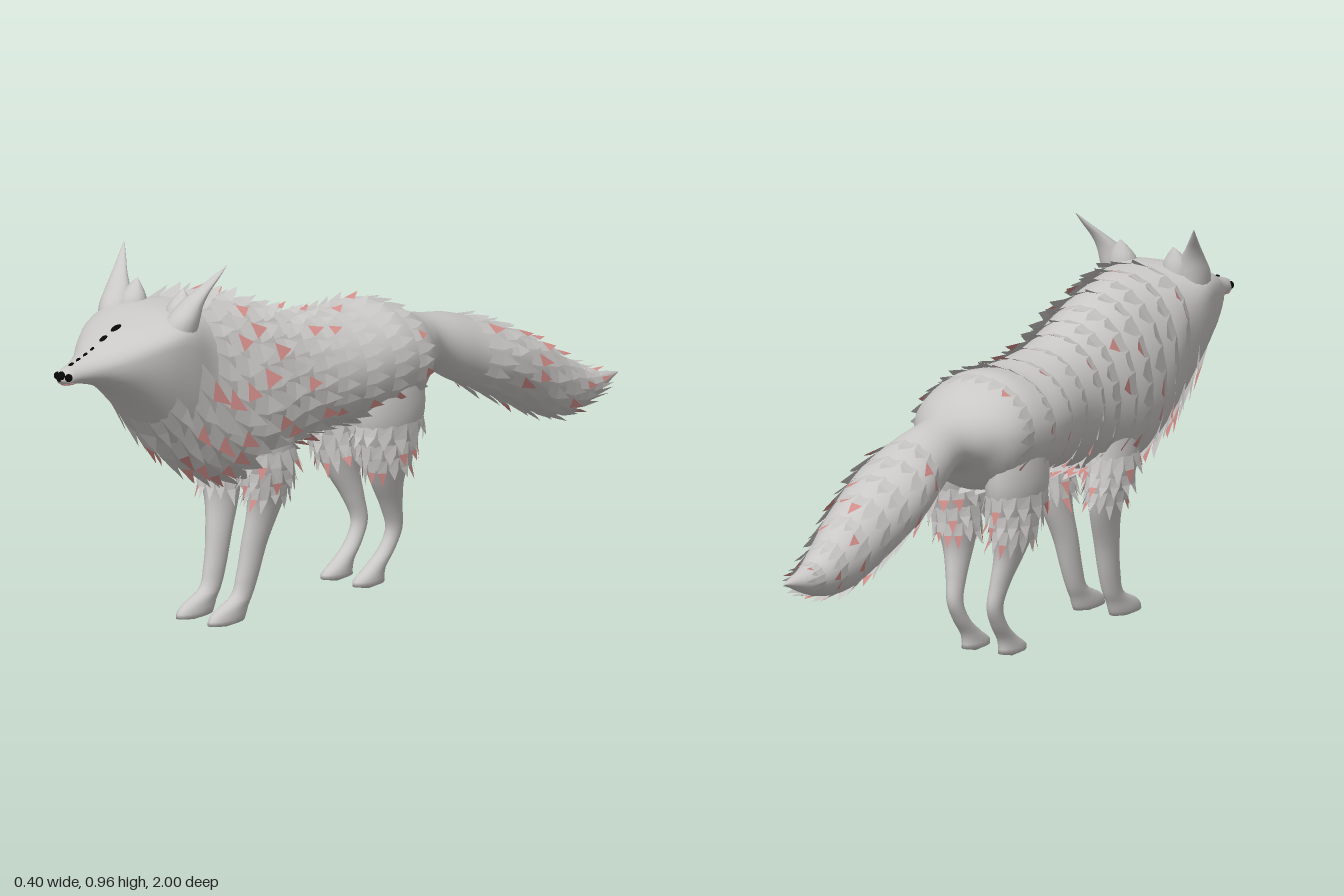
import * as THREE from 'three';

const mat = (name, color, side = THREE.FrontSide) => {
  const m = new THREE.MeshStandardMaterial({ color, side });
  m.name = name;
  return m;
};

// Small seeded generator for the uneven fur
let seed = 7;
const rand = () => (seed = (seed * 16807) % 2147483647) / 2147483647;

// Smooth interpolation through section rows sorted by descending first value
function sample(rows, u) {
  let i = 0;
  while (i < rows.length - 2 && rows[i + 1][0] > u) i++;
  const p = rows[Math.max(i - 1, 0)], a = rows[i], b = rows[i + 1];
  const q = rows[Math.min(i + 2, rows.length - 1)];
  const t = THREE.MathUtils.clamp((u - a[0]) / (b[0] - a[0]), 0, 1);
  const h = b[0] - a[0];
  return a.map((v, k) => {
    if (k === 0) return u;
    const m0 = ((b[k] - p[k]) / (b[0] - p[0])) * h;
    const m1 = ((q[k] - v) / (q[0] - a[0])) * h;
    const t2 = t * t, t3 = t2 * t;
    return (2 * t3 - 3 * t2 + 1) * v + (t3 - 2 * t2 + t) * m0
      + (3 * t2 - 2 * t3) * b[k] + (t3 - t2) * m1;
  });
}

// Nose to tail: z, top, bottom, half width, height of widest point
const bodyRows = [
  [0.995, 0.722, 0.714, 0.008, 0.718], [0.985, 0.738, 0.703, 0.022, 0.72],
  [0.94, 0.752, 0.7, 0.033, 0.725], [0.88, 0.772, 0.685, 0.062, 0.735],
  [0.82, 0.8, 0.655, 0.105, 0.75], [0.75, 0.825, 0.6, 0.143, 0.77],
  [0.68, 0.845, 0.53, 0.158, 0.77], [0.6, 0.85, 0.45, 0.155, 0.7],
  [0.5, 0.842, 0.39, 0.165, 0.61], [0.4, 0.815, 0.37, 0.165, 0.58],
  [0.2, 0.738, 0.42, 0.14, 0.58], [0, 0.712, 0.43, 0.165, 0.58],
  [-0.1, 0.718, 0.43, 0.165, 0.58], [-0.18, 0.69, 0.44, 0.15, 0.58],
  [-0.24, 0.66, 0.495, 0.11, 0.58], [-0.3, 0.643, 0.51, 0.077, 0.575],
  [-0.4, 0.625, 0.455, 0.088, 0.54], [-0.52, 0.583, 0.4, 0.109, 0.49],
  [-0.7, 0.5, 0.315, 0.087, 0.41], [-0.78, 0.45, 0.295, 0.068, 0.375],
  [-0.88, 0.39, 0.31, 0.042, 0.35], [-1, 0.361, 0.359, 0.003, 0.36],
];
const bodySurface = (u, a) => {
  const [z, top, bottom, w, yc] = sample(bodyRows, u);
  // Sections grow boxier around the brow
  const e = 1 - 0.25 * Math.max(0, 1 - ((z - 0.69) / 0.18) ** 2);
  const c = Math.cos(a), s = Math.sin(a);
  const pow = (v) => Math.sign(v) * Math.abs(v) ** e;
  return new THREE.Vector3(w * pow(c), yc + (s > 0 ? (top - yc) * pow(s) : (yc - bottom) * s), z);
};

// Limbs and ears: y, x, z, x radius, z radius
const frontLegRows = [
  [0.52, 0.085, 0.36, 0.05, 0.09], [0.4, 0.088, 0.34, 0.052, 0.078],
  [0.3, 0.073, 0.335, 0.034, 0.055], [0.2, 0.06, 0.36, 0.028, 0.038],
  [0.12, 0.055, 0.38, 0.024, 0.033], [0.07, 0.053, 0.4, 0.022, 0.034],
  [0.045, 0.053, 0.435, 0.024, 0.055], [0.025, 0.053, 0.45, 0.026, 0.062],
  [0.01, 0.053, 0.455, 0.022, 0.054], [0.003, 0.053, 0.455, 0.001, 0.001],
];
const hindLegRows = [
  [0.58, 0.085, -0.09, 0.06, 0.1], [0.45, 0.09, -0.09, 0.064, 0.108],
  [0.35, 0.083, -0.09, 0.05, 0.08], [0.27, 0.074, -0.1, 0.033, 0.05],
  [0.2, 0.064, -0.125, 0.023, 0.032], [0.14, 0.058, -0.14, 0.019, 0.024],
  [0.09, 0.055, -0.115, 0.02, 0.024], [0.05, 0.053, -0.075, 0.022, 0.035],
  [0.028, 0.053, -0.055, 0.025, 0.05], [0.01, 0.053, -0.055, 0.022, 0.045],
  [0.003, 0.053, -0.055, 0.001, 0.001],
];
const earRows = [
  [0.96, 0.172, 0.578, 0.001, 0.001], [0.93, 0.156, 0.602, 0.011, 0.008],
  [0.9, 0.139, 0.628, 0.021, 0.015], [0.87, 0.124, 0.65, 0.032, 0.026],
  [0.83, 0.112, 0.67, 0.042, 0.042], [0.78, 0.1, 0.68, 0.045, 0.05],
];
const browRows = [
  [0.895, 0.077, 0.632, 0.001, 0.001], [0.88, 0.078, 0.637, 0.016, 0.012],
  [0.85, 0.078, 0.645, 0.034, 0.03], [0.8, 0.078, 0.65, 0.04, 0.04],
];
const limbSurface = (rows, side) => (u, a) => {
  const [y, x, z, rx, rz] = sample(rows, u);
  return new THREE.Vector3(side * x + rx * Math.cos(a), y, z - rz * Math.sin(a));
};

// Smooth skin over a surface function, running from u0 down to u1
function loft(surface, u0, u1, steps, n) {
  const pos = [], index = [];
  for (let i = 0; i <= steps; i++) {
    const u = u0 + ((u1 - u0) * i) / steps;
    for (let j = 0; j < n; j++) {
      pos.push(...surface(u, (j / n) * Math.PI * 2).toArray());
      if (i === steps) continue;
      const a = i * n + j, b = i * n + ((j + 1) % n);
      index.push(a, a + n, b, b, a + n, b + n);
    }
  }
  const g = new THREE.BufferGeometry();
  g.setAttribute('position', new THREE.Float32BufferAttribute(pos, 3));
  g.setIndex(index);
  g.computeVertexNormals();
  return g;
}

// One row of pointed tufts lifting off a surface
function tuftRow(out, surface, u, n, length, lift, from = 0, to = 1, pinkShare = 0.3) {
  const point = (v, a, off) => {
    const p = surface(v, a);
    const centre = surface(v, 0).add(surface(v, Math.PI)).multiplyScalar(0.5);
    return p.clone().addScaledVector(p.sub(centre).normalize(), off).toArray();
  };
  const half = Math.PI / n, shift = rand();
  for (let i = 0; i < n; i++) {
    const f = ((i + shift) / n) % 1;
    if (f < from || f > to) continue;
    const a = f * Math.PI * 2, l = length * (0.75 + 0.5 * rand());
    const r0 = point(u, a - half, 0), r1 = point(u, a + half, 0);
    const m0 = point(u - l * 0.5, a - half * 0.8, lift * 0.4);
    const m1 = point(u - l * 0.5, a + half * 0.8, lift * 0.4);
    const tip = point(u - l, a, lift * (0.8 + 0.4 * rand()));
    out.grey.push(...r0, ...m0, ...r1, ...r1, ...m0, ...m1);
    (rand() < pinkShare ? out.pink : out.grey).push(...m0, ...tip, ...m1);
  }
}

export function createModel() {
  const model = new THREE.Group();
  model.name = 'fox';
  const coat = mat('greyCoat', 0xcac8c6);
  const tuft = mat('greyTuft', 0xc6c4c2, THREE.DoubleSide);
  const pink = mat('pinkTuft', 0xd08d89, THREE.DoubleSide);
  const black = mat('black', 0x060606);
  const add = (name, geometry, material) => {
    const m = new THREE.Mesh(geometry, material);
    m.name = name;
    model.add(m);
    return m;
  };
  const addFur = (name, out) => {
    for (const [key, material] of [['grey', tuft], ['pink', pink]]) {
      const g = new THREE.BufferGeometry();
      g.setAttribute('position', new THREE.Float32BufferAttribute(out[key], 3));
      g.computeVertexNormals();
      add(name + (key === 'pink' ? 'PinkTips' : ''), g, material);
    }
  };

  // Head, trunk and tail in one skin
  add('body', loft(bodySurface, 0.995, -1, 120, 36), coat);

  // Body fur: chest bib, mane, back and tail
  const fur = { grey: [], pink: [] };
  tuftRow(fur, bodySurface, 0.71, 24, 0.06, 0.025, 0.62, 0.88);
  tuftRow(fur, bodySurface, 0.65, 24, 0.065, 0.03, 0.53, 0.97);
  for (let z = 0.59; z > 0.2; z -= 0.06) tuftRow(fur, bodySurface, z, 24, 0.065, 0.03);
  for (let z = 0.15; z > -0.15; z -= 0.09) tuftRow(fur, bodySurface, z, 26, 0.055, 0.016, 0, 1, 0.2);
  addFur('bodyFur', fur);
  const tailFur = { grey: [], pink: [] };
  for (let z = -0.44; z > -0.9; z -= 0.072) tuftRow(tailFur, bodySurface, z, 15, 0.07, 0.018);
  addFur('tailFur', tailFur);

  // Ears, brows and legs, mirrored
  for (const side of [1, -1]) {
    const label = side > 0 ? 'left' : 'right';
    add(label + 'Ear', loft(limbSurface(earRows, side), 0.96, 0.78, 24, 16), coat);
    add(label + 'Brow', loft(limbSurface(browRows, side), 0.895, 0.8, 12, 14), coat);
    const legs = [['FrontLeg', frontLegRows, [0.44, 0.39, 0.35]], ['HindLeg', hindLegRows, [0.43, 0.38, 0.34]]];
    for (const [name, rows, heights] of legs) {
      const surface = limbSurface(rows, side);
      add(label + name, loft(surface, rows[0][0], 0.003, 50, 18), coat);
      const out = { grey: [], pink: [] };
      for (const y of heights) tuftRow(out, surface, y, 14, 0.06, 0.026);
      addFur(label + name + 'Fur', out);
    }
  }

  // Dark spots along the ridge of the muzzle: z, half width, half length
  const spots = [[0.79, 0.01, 0.017], [0.835, 0.008, 0.013], [0.875, 0.004, 0.007],
    [0.9, 0.004, 0.008], [0.925, 0.004, 0.008], [0.95, 0.005, 0.009]];
  for (const [z, w, l] of spots) {
    const p = bodySurface(z, Math.PI / 2), q = bodySurface(z - 0.01, Math.PI / 2);
    const spot = add('muzzleSpot', new THREE.SphereGeometry(1, 14, 8), black);
    spot.scale.set(w, 0.004, l);
    spot.position.copy(p);
    spot.rotation.x = Math.atan2(q.y - p.y, 0.01);
  }

  // Nose with two nostril wings and a pink lip
  for (const [x, r] of [[0, 0.014], [0.018, 0.01], [-0.018, 0.01]]) {
    const nose = add('nose', new THREE.SphereGeometry(r, 14, 10), black);
    nose.position.set(x, 0.724, 0.984 - Math.abs(x) * 0.3);
  }
  const lip = add('lip', new THREE.SphereGeometry(1, 14, 8), pink);
  lip.scale.set(0.024, 0.006, 0.022);
  lip.position.set(0, 0.708, 0.965);
  return model;
}
